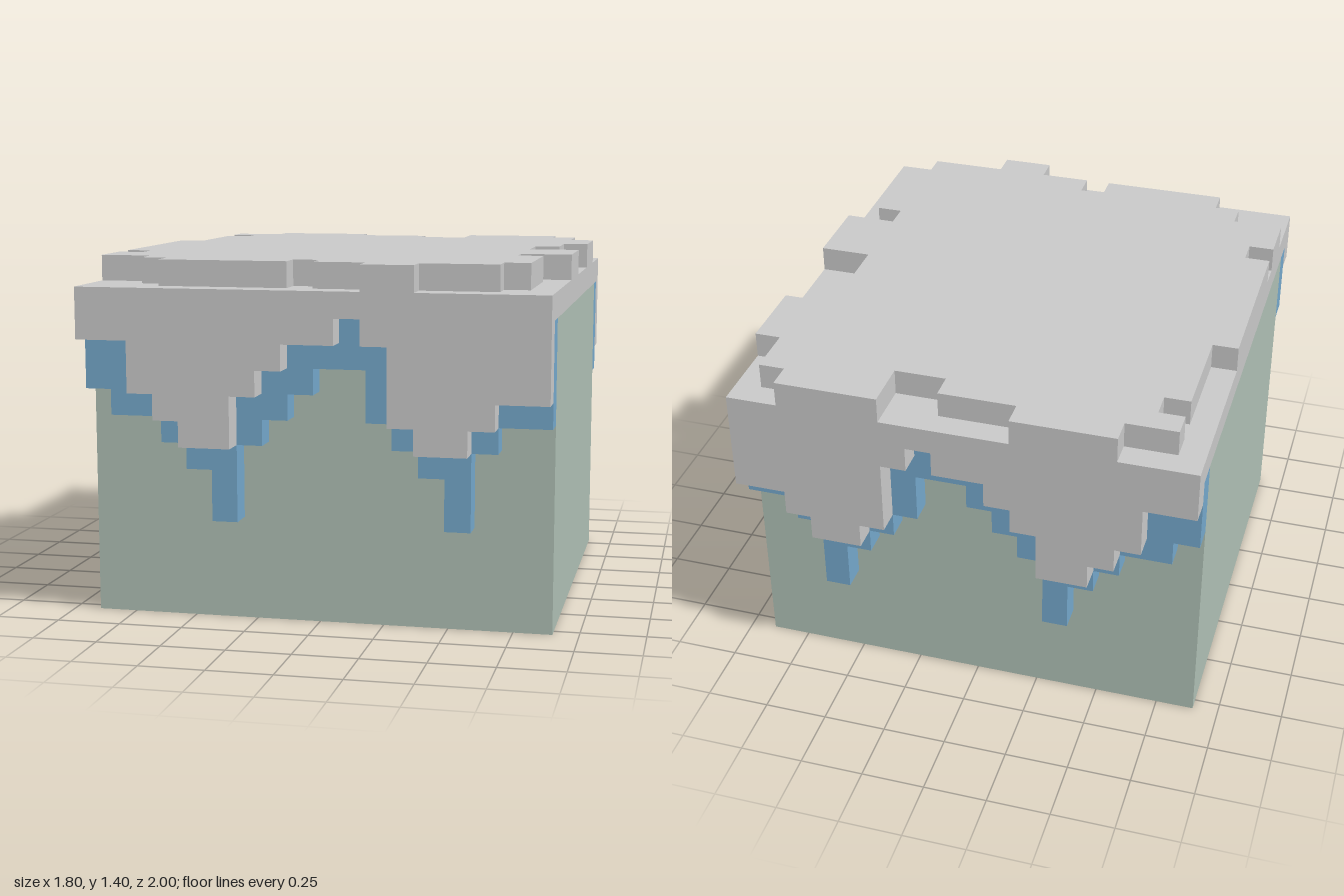
import * as THREE from 'three';

const U = 0.1; // grid unit of the blocky design
const HALF_W = 0.9;

// Bottom heights (in units) of each column, from right (-x) to left (+x)
const SNOW = [11, 11, 9, 8, 7, 7, 9, 10, 11, 11, 12, 11, 8, 7, 7, 8, 9, 9];
const ICE = [9, 8, 8, 7, 6, 4, 7, 8, 9, 10, 10, 8, 7, 6, 4, 7, 8, 8];

// Outline of the raised top layer, as [x, z] in units
const TOP = [
  [-6, -10], [-2, -10], [-2, -9], [1, -9], [1, -8], [3, -8], [3, -10],
  [7, -10], [7, -9], [8, -9], [8, -7], [9, -7],
  [9, -4], [8, -4], [8, -2], [7, -2], [7, 0], [9, 0],
  [9, 3], [7, 3], [7, 4], [8, 4], [8, 8], [7, 8], [7, 9], [4, 9], [4, 10],
  [2, 10], [2, 9], [0, 9], [0, 8], [-1, 8], [-1, 9], [-6, 9], [-6, 8], [-7, 8], [-7, 7], [-9, 7],
  [-9, 5], [-8, 5], [-8, 4], [-9, 4],
  [-9, -3], [-8, -3], [-8, -7], [-7, -7], [-7, -8], [-8, -8], [-8, -9], [-6, -9],
];

// Hanging sheet with a stepped lower edge, one unit thick
function curtain(bottoms, top) {
  const pts = [new THREE.Vector2(-HALF_W, top)];
  bottoms.forEach((b, i) => {
    if (i === 0 || bottoms[i - 1] !== b) {
      if (i > 0) pts.push(new THREE.Vector2(-HALF_W + i * U, bottoms[i - 1] * U));
      pts.push(new THREE.Vector2(-HALF_W + i * U, b * U));
    }
  });
  pts.push(new THREE.Vector2(HALF_W, bottoms[bottoms.length - 1] * U));
  pts.push(new THREE.Vector2(HALF_W, top));
  return new THREE.ExtrudeGeometry(new THREE.Shape(pts), { depth: U, bevelEnabled: false });
}

export function createModel() {
  const group = new THREE.Group();
  const material = (name, color) => {
    const m = new THREE.MeshStandardMaterial({ color });
    m.name = name;
    return m;
  };
  const grey = material('pale grey', 0xc8c8c8);
  const blue = material('ice blue', 0x74a7ca);
  const green = material('sage green', 0xaebfb4);

  const add = (name, geometry, mat, x = 0, y = 0, z = 0) => {
    const mesh = new THREE.Mesh(geometry, mat);
    mesh.name = name;
    mesh.position.set(x, y, z);
    group.add(mesh);
    return mesh;
  };

  // Main block and the slab lying on it
  add('body', new THREE.BoxGeometry(1.8, 1.2, 1.6), green, 0, 0.6, 0);
  add('slab', new THREE.BoxGeometry(1.8, 0.1, 1.8), grey, 0, 1.25, 0);

  // Raised top layer with notched edges
  const outline = new THREE.Shape(TOP.map(([x, z]) => new THREE.Vector2(x * U, -z * U)));
  const layer = new THREE.ExtrudeGeometry(outline, { depth: U, bevelEnabled: false });
  layer.rotateX(-Math.PI / 2);
  add('topLayer', layer, grey, 0, 1.3, 0);

  // Two hanging layers on the front, repeated on the back
  const snow = curtain(SNOW, 1.3);
  const ice = curtain(ICE, 1.2);
  add('frontOuterDrape', snow, grey, 0, 0, 0.9);
  add('backOuterDrape', snow, grey, 0, 0, -1.0);
  add('frontInnerDrape', ice, blue, 0, 0, 0.8);
  add('backInnerDrape', ice, blue, 0, 0, -0.9);

  return group;
}
